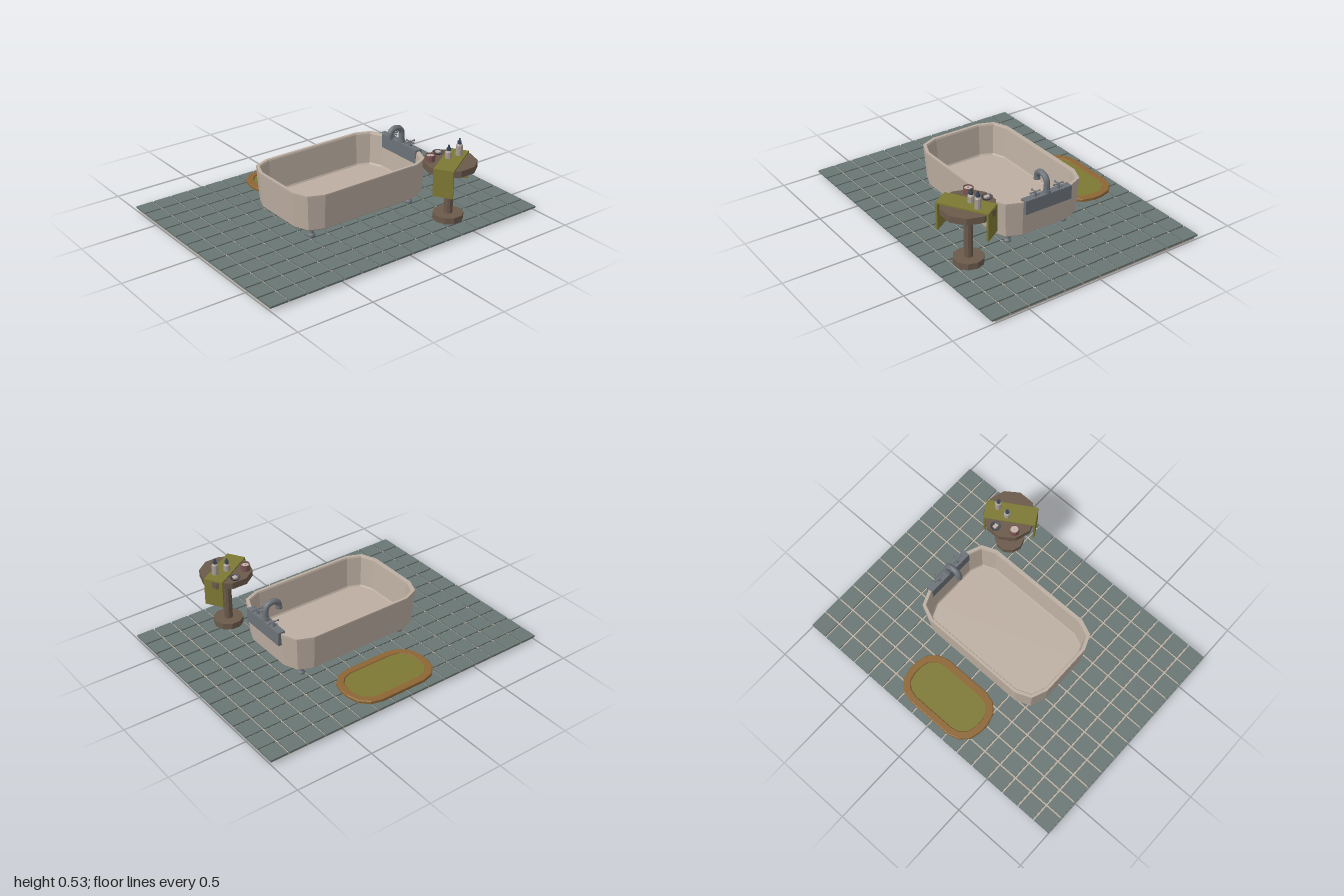
import * as THREE from 'three';
import { mergeGeometries } from 'three/addons/utils/BufferGeometryUtils.js';

const paint = (color) => new THREE.MeshStandardMaterial({ color, flatShading: true });
const M = {
  grout: paint(0xbcae9f), tile: paint(0x697673), tub: paint(0xbcaea1), metal: paint(0x6c7278),
  rug: paint(0x8c6534), olive: paint(0x7d7833), wood: paint(0x6b5a4b), bottle: paint(0xa89f96),
  cap: paint(0x3a475c), candle: paint(0x7a5553), dish: paint(0x4a4a52), cream: paint(0xc2b2a6),
};

// Outline of a rounded rectangle at height y
function ring(w, d, r, y, seg) {
  const pts = [];
  for (let q = 0; q < 4; q++) {
    const sx = q === 0 || q === 3 ? 1 : -1, sz = q < 2 ? 1 : -1;
    for (let i = 0; i <= seg; i++) {
      const a = (q + i / seg) * Math.PI / 2;
      pts.push([sx * (w / 2 - r) + Math.cos(a) * r, y, sz * (d / 2 - r) + Math.sin(a) * r]);
    }
  }
  return pts;
}

// Skin over stacked rings, closed at both ends
function loft(rings) {
  const n = rings[0].length, last = rings.length - 1, pos = rings.flat(2), idx = [];
  for (let i = 0; i < last; i++) for (let j = 0; j < n; j++) {
    const a = i * n + j, b = i * n + (j + 1) % n;
    idx.push(a, a + n, b, b, a + n, b + n);
  }
  const base = (last + 1) * n;
  pos.push(0, rings[0][0][1], 0, 0, rings[last][0][1], 0);
  for (let j = 0; j < n; j++) {
    const k = (j + 1) % n;
    idx.push(base, j, k, base + 1, last * n + k, last * n + j);
  }
  const g = new THREE.BufferGeometry();
  g.setAttribute('position', new THREE.Float32BufferAttribute(pos, 3));
  g.setIndex(idx);
  g.computeVertexNormals();
  return g;
}

function add(parent, name, geo, mat, x = 0, y = 0, z = 0) {
  const m = new THREE.Mesh(geo, mat);
  m.name = name;
  m.position.set(x, y, z);
  parent.add(m);
  return m;
}

function group(parent, name, x = 0, y = 0, z = 0) {
  const g = new THREE.Group();
  g.name = name;
  g.position.set(x, y, z);
  parent.add(g);
  return g;
}

const box = (w, h, d) => new THREE.BoxGeometry(w, h, d);
// Cylinder standing on its base
const cyl = (rt, rb, h, n = 10) => new THREE.CylinderGeometry(rt, rb, h, n).translate(0, h / 2, 0);
const lathe = (pts, n = 10) => new THREE.LatheGeometry(pts.map(p => new THREE.Vector2(...p)), n);

function buildFloor(root) {
  const floor = group(root, 'floor');
  add(floor, 'groutSlab', box(1.455, 0.021, 1.98), M.grout, -0.005, 0.0105, 0);
  const tiles = [];
  for (let i = 0; i < 12; i++) for (let j = 0; j < 16; j++)
    tiles.push(box(0.115, 0.012, 0.115).translate((i - 5.5) * 0.1255, 0.024, (j - 7.5) * 0.12567));
  add(floor, 'tiles', mergeGeometries(tiles), M.tile);
}

function buildTub(root) {
  const tub = group(root, 'bathtub', 0.018, 0, -0.025);
  const w = 0.626, d = 0.98, r = 0.14;
  const at = (inset, y) => ring(w - 2 * inset, d - 2 * inset, r - inset * 0.6, y, 2);
  add(tub, 'basin', loft([at(0.036, 0.09), at(0.018, 0.105), at(0.002, 0.325), at(0.002, 0.335),
    at(0.02, 0.335), at(0.024, 0.325), at(0.04, 0.13), at(0.046, 0.12)]), M.tub);
  // Four turned feet
  const foot = lathe([[0, 0.03], [0.023, 0.03], [0.023, 0.04], [0.014, 0.052], [0.011, 0.075], [0.018, 0.085], [0.018, 0.097], [0, 0.097]]);
  for (const x of [-0.206, 0.206]) for (const z of [-0.377, 0.377]) add(tub, 'foot', foot, M.metal, x, 0, z);
}

function buildTap(root) {
  const tap = group(root, 'tap', 0.018, 0, -0.507);
  // Saddle plate over the rim
  add(tap, 'mountingPlate', box(0.335, 0.09, 0.048), M.metal, 0, 0.3, 0);
  add(tap, 'spoutCollar', cyl(0.023, 0.025, 0.02), M.metal, 0, 0.343, 0);
  const path = new THREE.CurvePath();
  const v = (y, z) => new THREE.Vector3(0, y, z);
  path.add(new THREE.LineCurve3(v(0.345, 0), v(0.405, 0)));
  path.add(new THREE.CubicBezierCurve3(v(0.405, 0), v(0.465, 0.005), v(0.465, 0.095), v(0.41, 0.097)));
  path.add(new THREE.LineCurve3(v(0.41, 0.097), v(0.395, 0.097)));
  add(tap, 'spout', new THREE.TubeGeometry(path, 20, 0.019, 10), M.metal);
  add(tap, 'spoutEnd', cyl(0.021, 0.021, 0.012), M.metal, 0, 0.39, 0.097);
  // Cross handles
  for (const s of [-1, 1]) {
    const handle = group(tap, 'handle', s * 0.084, 0.345, 0);
    add(handle, 'stem', cyl(0.008, 0.012, 0.034, 8), M.metal);
    for (const turn of [0, Math.PI / 2]) {
      const bar = group(handle, 'crossBar', 0, 0.029, 0);
      bar.rotation.y = turn;
      add(bar, 'bar', new THREE.CylinderGeometry(0.004, 0.004, 0.064, 6).rotateZ(Math.PI / 2), M.metal);
      for (const e of [-1, 1]) add(bar, 'knob', new THREE.SphereGeometry(0.007, 6, 5), M.metal, e * 0.032);
    }
  }
}

function buildRug(root) {
  const rug = group(root, 'bathMat', -0.523, 0, -0.025);
  const at = (w, d, r, y) => ring(w, d, r, y, 3);
  add(rug, 'border', loft([at(0.36, 0.61, 0.15, 0.03), at(0.36, 0.61, 0.15, 0.046), at(0.35, 0.6, 0.145, 0.05),
    at(0.275, 0.525, 0.11, 0.05), at(0.265, 0.515, 0.105, 0.041)]), M.rug);
  add(rug, 'pile', loft([at(0.265, 0.515, 0.105, 0.035), at(0.265, 0.515, 0.105, 0.044)]), M.olive);
}

function buildTable(root) {
  const table = group(root, 'sideTable', 0.535, 0, -0.455);
  add(table, 'base', cyl(0.095, 0.095, 0.04), M.wood, 0, 0.03, 0);
  add(table, 'post', cyl(0.028, 0.028, 0.31), M.wood, 0, 0.068, 0);
  add(table, 'top', cyl(0.166, 0.166, 0.042), M.wood, 0, 0.374, 0);

  // Towel draped over both edges
  const towel = group(table, 'towel', 0.011, 0, 0);
  towel.rotation.y = 0.553;
  add(towel, 'towelTop', box(0.125, 0.01, 0.32), M.olive, 0, 0.42, 0);
  for (const s of [-1, 1]) add(towel, 'towelFlap', box(0.125, 0.18, 0.012), M.olive, 0, 0.335, s * 0.158);

  // Two bottles with pump caps
  for (const [x, z, h] of [[-0.013, -0.083, 0.073], [-0.02, -0.003, 0.048]]) {
    const bottle = group(table, 'bottle', x, 0.424, z);
    add(bottle, 'body', lathe([[0, 0], [0.021, 0], [0.021, h - 0.008], [0.011, h + 0.004], [0, h + 0.004]]), M.bottle);
    add(bottle, 'cap', cyl(0.012, 0.013, 0.02, 8), M.cap, 0, h, 0);
    add(bottle, 'nozzle', cyl(0.006, 0.006, 0.018, 6), M.cap, 0, h + 0.018, 0);
  }

  // Candle in a jar
  const candle = group(table, 'candle', -0.069, 0.416, 0.1);
  add(candle, 'jar', lathe([[0, 0], [0.031, 0], [0.031, 0.04], [0.026, 0.04], [0.026, 0.03], [0, 0.03]]), M.candle);
  add(candle, 'wax', cyl(0.026, 0.026, 0.004), M.cream, 0, 0.029, 0);
  add(candle, 'wick', cyl(0.002, 0.002, 0.008, 5), M.dish, 0, 0.032, 0);

  // Soap on its dish
  const soap = group(table, 'soapDish', -0.122, 0.416, -0.01);
  add(soap, 'dish', lathe([[0, 0], [0.026, 0], [0.036, 0.012], [0.03, 0.012], [0.022, 0.005], [0, 0.005]]), M.dish);
  add(soap, 'soap', box(0.03, 0.01, 0.022), M.cream, 0, 0.01, 0);
}

export function createModel() {
  const root = new THREE.Group();
  root.name = 'bathroom';
  buildFloor(root);
  buildTub(root);
  buildTap(root);
  buildRug(root);
  buildTable(root);
  return root;
}
